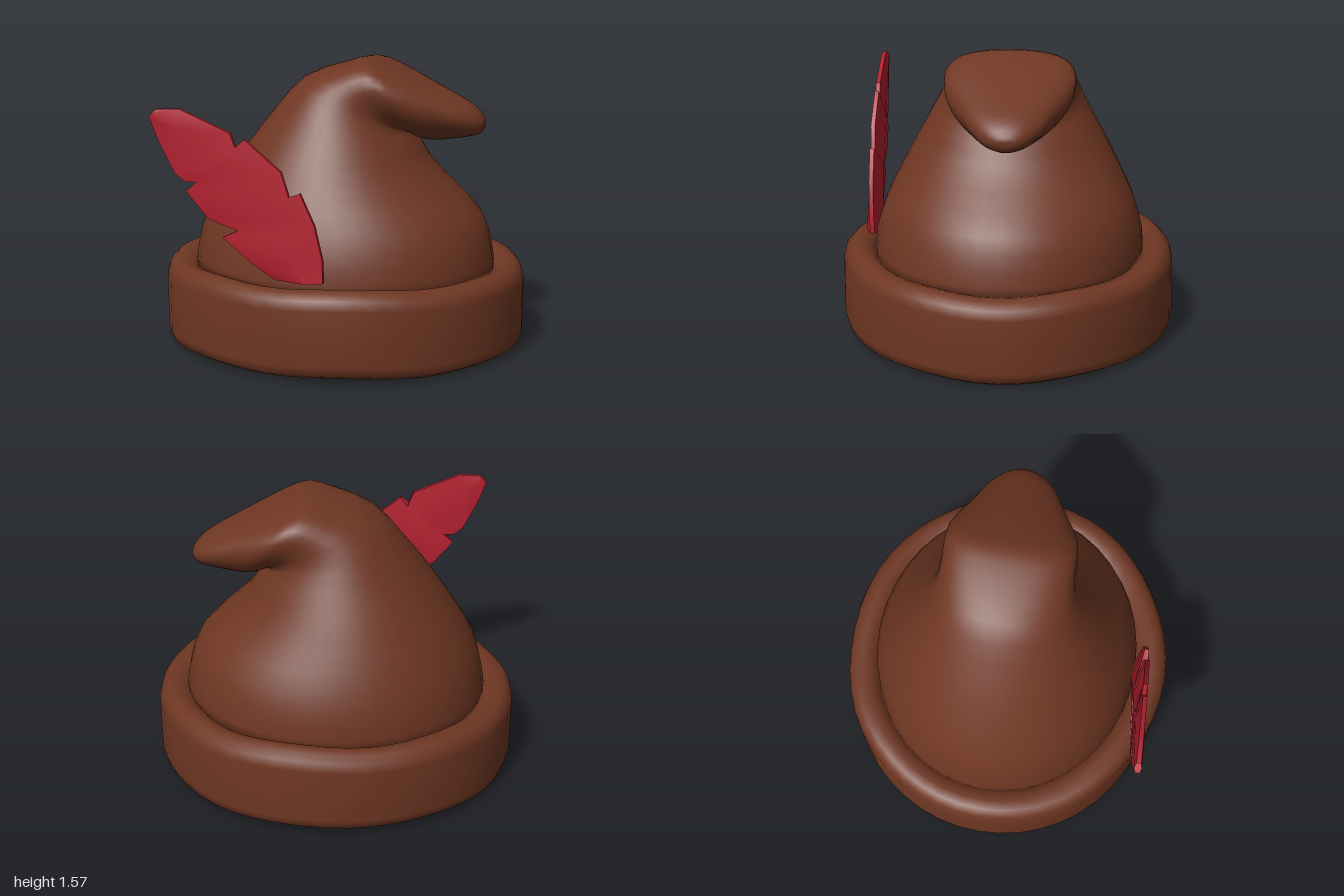
import * as THREE from 'three';
import { toCreasedNormals } from 'three/addons/utils/BufferGeometryUtils.js';

const V = (x, y, z) => new THREE.Vector3(x, y, z);

// Skin a list of equal-length point rings (counter-clockwise about the path) and cap both ends.
function loft(rings) {
  const n = rings[0].length, last = rings.length - 1;
  const points = rings.flat(), index = [];
  for (let i = 0; i < last; i++) {
    for (let j = 0; j < n; j++) {
      const a = i * n + j, b = i * n + (j + 1) % n;
      index.push(a, b, a + n, b, b + n, a + n);
    }
  }
  for (const i of [0, last]) {
    const centre = V(0, 0, 0);
    rings[i].forEach(p => centre.addScaledVector(p, 1 / n));
    const c = points.push(centre) - 1;
    for (let j = 0; j < n; j++) {
      const a = i * n + j, b = i * n + (j + 1) % n;
      if (i === 0) index.push(c, b, a); else index.push(c, a, b);
    }
  }
  const geometry = new THREE.BufferGeometry().setFromPoints(points);
  geometry.setIndex(index);
  geometry.computeVertexNormals();
  return geometry;
}

// Rolled brim: a rounded profile swept round an oval, with a slightly uneven edge.
function brimGeometry() {
  const profile = [[0.5, 0.05], [0.88, 0.035], [0.95, 0.02], [0.985, 0.04], [1, 0.09], [1, 0.24], [1, 0.38],
    [0.985, 0.43], [0.95, 0.462], [0.9, 0.47], [0.85, 0.455], [0.81, 0.42], [0.78, 0.36]];
  const sides = 48;
  return loft(profile.map(([r, y]) => Array.from({ length: sides }, (_, j) => {
    const a = j / sides * Math.PI * 2, s = Math.sin(a), c = Math.cos(a);
    const wobble = 1 + 0.008 * Math.sin(5 * a + y * 4) * c * c;
    const lift = (y > 0.3 ? 0.025 : 0.02) * c * c + 0.006 * Math.sin(7 * a);
    return V(s * r * wobble, Math.max(0, y + lift - 0.012), c * r * 0.92 * wobble);
  })));
}

// Crown: each section has a back/top point, a front/bottom point, a half width and a top-heaviness.
function crownGeometry() {
  const sections = [
    [-0.84, 0.40, 0.84, 0.40, 0.75, 0], [-0.82, 0.55, 0.82, 0.55, 0.74, 0],
    [-0.77, 0.72, 0.76, 0.72, 0.69, 0], [-0.66, 0.91, 0.58, 0.90, 0.60, 0],
    [-0.53, 1.10, 0.47, 1.02, 0.52, 0], [-0.38, 1.29, 0.42, 1.11, 0.44, 0.05],
    [-0.22, 1.46, 0.38, 1.17, 0.37, 0.15], [0.00, 1.54, 0.39, 1.17, 0.35, 0.28],
    [0.14, 1.57, 0.43, 1.14, 0.35, 0.35], [0.24, 1.54, 0.50, 1.13, 0.34, 0.35],
    [0.45, 1.445, 0.61, 1.14, 0.25, 0.3], [0.62, 1.365, 0.70, 1.155, 0.18, 0.2],
    [0.72, 1.31, 0.75, 1.17, 0.11, 0.1], [0.77, 1.25, 0.77, 1.20, 0.05, 0]];
  const curve = pick => new THREE.CatmullRomCurve3(sections.map(pick));
  const top = curve(s => V(s[0], s[1], 0));
  const bottom = curve(s => V(s[2], s[3], 0));
  const shape = curve(s => V(s[4], s[5], 0));
  const steps = (sections.length - 1) * 2, sides = 40, rings = [];
  for (let i = 0; i <= steps; i++) {
    const t = i / steps, A = top.getPoint(t), B = bottom.getPoint(t), w = shape.getPoint(t);
    const middle = A.clone().add(B).multiplyScalar(0.5), half = A.clone().sub(B).multiplyScalar(0.5);
    rings.push(Array.from({ length: sides }, (_, j) => {
      const a = j / sides * Math.PI * 2, s = Math.sin(a);
      const p = middle.clone().addScaledVector(half, Math.cos(a) + w.y * s * s);
      p.z = w.x * s - 0.03 * t;
      return p;
    }));
  }
  return loft(rings);
}

// Feather: left edge, midrib and right edge at each station, notched along both sides.
function featherGeometry() {
  const stations = [
    [-0.18, 0.505, -0.02, 0.50, 0.07, 0.50], [-0.31, 0.59, -0.10, 0.62, 0.07, 0.62],
    [-0.455, 0.715, -0.19, 0.75, 0.03, 0.80], [-0.375, 0.755, -0.23, 0.82, -0.045, 0.965],
    [-0.53, 0.81, -0.29, 0.88, -0.095, 0.92], [-0.645, 0.95, -0.39, 1.00, -0.14, 1.07],
    [-0.59, 1.00, -0.45, 1.07, -0.33, 1.23], [-0.65, 1.00, -0.48, 1.10, -0.36, 1.14],
    [-0.70, 1.04, -0.53, 1.15, -0.405, 1.26], [-0.78, 1.20, -0.70, 1.28, -0.67, 1.375],
    [-0.83, 1.33, -0.81, 1.35, -0.79, 1.37]];
  const rings = stations.map(([lx, ly, mx, my, rx, ry], i) => {
    const z = 0.765 - 0.04 * mx, rib = 0.045 - 0.025 * i / 10, edge = 0.012;
    return [V(mx, my, z + rib), V(rx, ry, z + edge), V(rx, ry, z - edge),
      V(mx, my, z - rib), V(lx, ly, z - edge), V(lx, ly, z + edge)];
  });
  return toCreasedNormals(loft(rings), 0.7);
}

export function createModel() {
  const felt = new THREE.MeshStandardMaterial({ name: 'brown felt', color: 0x6f3723 });
  const red = new THREE.MeshStandardMaterial({ name: 'feather red', color: 0xb3202f });
  const hat = new THREE.Group();
  hat.name = 'hat';
  const add = (name, geometry, material) => {
    const mesh = new THREE.Mesh(geometry, material);
    mesh.name = name;
    hat.add(mesh);
  };
  add('brim', brimGeometry(), felt);
  add('crown', crownGeometry(), felt);
  add('feather', featherGeometry(), red);
  return hat;
}
